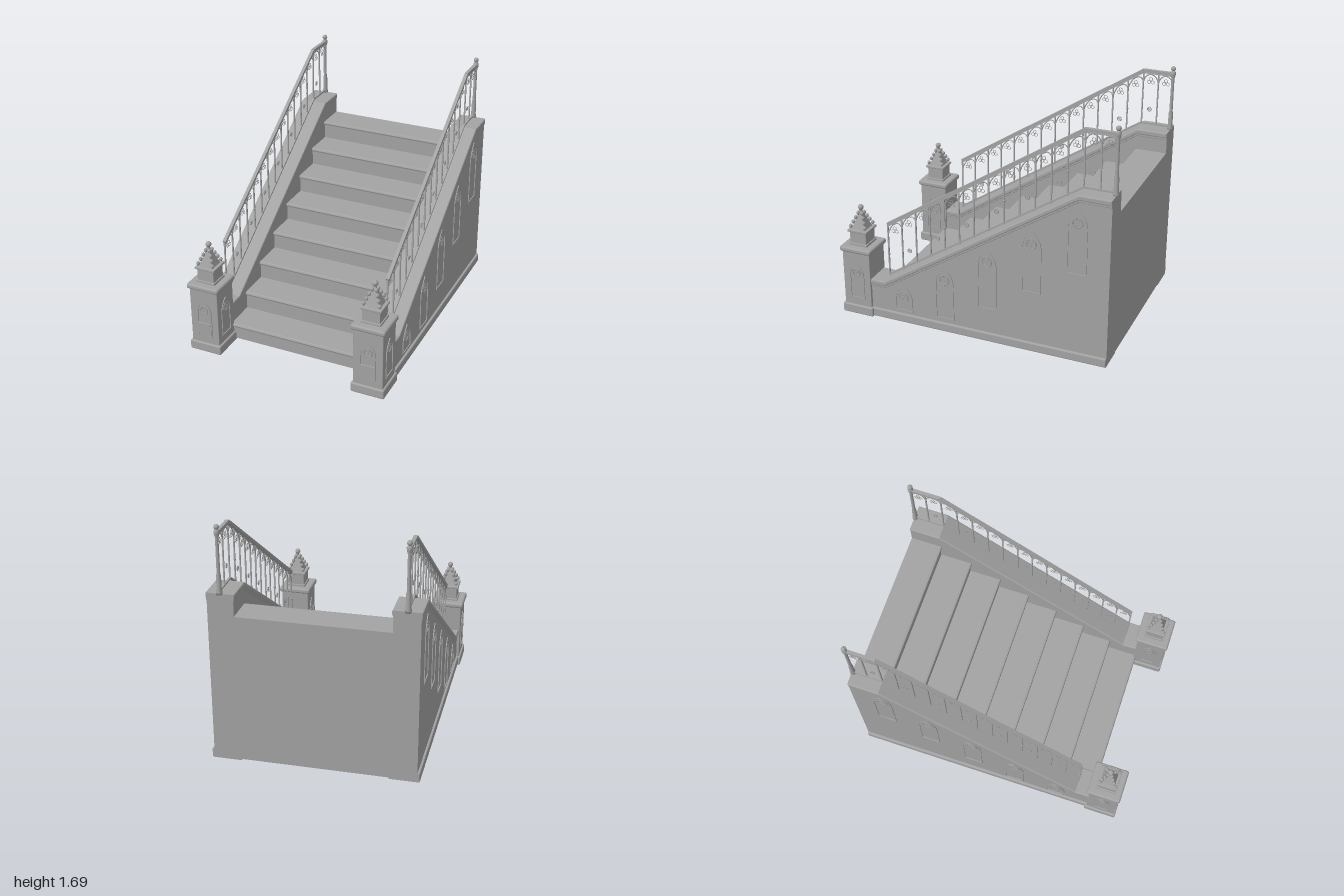
import * as THREE from 'three';
import { RoundedBoxGeometry } from 'three/addons/geometries/RoundedBoxGeometry.js';

const stone = new THREE.MeshStandardMaterial({ color: 0xa3a3a3 });
stone.name = 'grey stone';

const WALL_X = 0.607, RAIL_X = 0.61, SLOPE = 0.65, BEND_LOW = 0.67, BEND_HIGH = -0.76, BACK = -0.98;

function add(parent, name, geometry, x = 0, y = 0, z = 0) {
  const mesh = new THREE.Mesh(geometry, stone);
  mesh.name = name;
  mesh.position.set(x, y, z);
  parent.add(mesh);
  return mesh;
}

// Extrudes a (z, y) outline sideways, centred on x = 0
function sideways(points, width, bevel = 0) {
  const shape = new THREE.Shape(points.map(([z, y]) => new THREE.Vector2(z, y)));
  const depth = width - 2 * bevel;
  const geometry = new THREE.ExtrudeGeometry(shape, {
    depth, bevelEnabled: bevel > 0, bevelSize: bevel, bevelThickness: bevel, bevelOffset: -bevel, bevelSegments: 2,
  });
  geometry.translate(0, 0, -depth / 2);
  return geometry.rotateY(-Math.PI / 2);
}

// Height above the lower bend of the sloping line
const rise = (z) => SLOPE * (BEND_LOW - Math.min(BEND_LOW, Math.max(BEND_HIGH, z)));

// Band following the wall top, between two heights at the lower end
function band(low, high, width, bevel) {
  const zs = [0.78, BEND_LOW, BEND_HIGH, BACK];
  const lower = zs.map((z) => [z, low + rise(z)]);
  const upper = zs.map((z) => [z, high + rise(z)]).reverse();
  return sideways([...lower, ...upper], width, bevel);
}

// Straight square bar in the (z, y) plane
function bar(parent, name, z0, y0, z1, y1, height, width) {
  const length = Math.hypot(z1 - z0, y1 - y0);
  const mesh = add(parent, name, new THREE.BoxGeometry(width, height, length), 0, (y0 + y1) / 2, (z0 + z1) / 2);
  mesh.rotation.x = Math.atan2(y1 - y0, z0 - z1);
}

// Pointed arch outline standing on y = 0
function lancet(Type, w, h, inset = 0) {
  const a = w / 2 - inset, spring = h - w * 0.95, top = h - inset * 1.5;
  const s = new Type();
  s.moveTo(-a, inset);
  s.lineTo(a, inset);
  s.lineTo(a, spring);
  s.quadraticCurveTo(a, spring + (top - spring) * 0.6, 0, top);
  s.quadraticCurveTo(-a, spring + (top - spring) * 0.6, -a, spring);
  return s.closePath();
}

// Blind window: raised arch frame with a trefoil roundel
function blindWindow(w, h) {
  const group = new THREE.Group();
  group.name = 'blindWindow';
  const shape = lancet(THREE.Shape, w, h);
  shape.holes.push(lancet(THREE.Path, w, h, 0.009));
  add(group, 'windowFrame', new THREE.ExtrudeGeometry(shape, { depth: 0.006, bevelEnabled: false, curveSegments: 8 }));
  const y = h - w * 0.68, r = w * 0.25;
  add(group, 'roundel', new THREE.TorusGeometry(r, 0.004, 4, 20), 0, y, 0.001);
  trefoil(group, 0, y, 0.001, r * 0.45, r * 0.42);
  return group;
}

// Three small rings in the xy plane
function trefoil(parent, x, y, z, spread, radius) {
  for (let i = 0; i < 3; i++) {
    const a = Math.PI / 2 + (i * Math.PI * 2) / 3;
    add(parent, 'trefoilRing', new THREE.TorusGeometry(radius, 0.002, 4, 12), x + Math.cos(a) * spread, y + Math.sin(a) * spread, z);
  }
}

function staircase() {
  const group = new THREE.Group();
  group.name = 'staircase';
  // Solid flight with an overhanging rounded nosing on each tread
  const points = [[BACK, 0.015], [0.775, 0.015]];
  for (let i = 0; i < 8; i++) {
    const z = 0.79 - i * 0.22, y = 0.135 + i * 0.1335;
    points.push([z - 0.015, y - 0.026], [z - 0.004, y - 0.024], [z, y - 0.013], [z - 0.004, y - 0.003], [z - 0.015, y]);
    points.push(i < 7 ? [z - 0.235, y] : [BACK, y]);
  }
  add(group, 'steps', sideways(points, 1.05));
  return group;
}

function sideWall(s) {
  const group = new THREE.Group();
  group.name = 'sideWall';
  const x = s * WALL_X;
  add(group, 'wallBody', sideways([[BACK, 0.02], [0.78, 0.02], [0.78, 0.27], [BEND_LOW, 0.27], [BEND_HIGH, 0.27 + rise(-1)], [BACK, 0.27 + rise(-1)]], 0.178), x);
  add(group, 'plinth', sideways([[BACK, 0.005], [0.78, 0.005], [0.78, 0.07], [BACK, 0.07]], 0.212, 0.008), x);
  add(group, 'copingMoulding', band(0.24, 0.262, 0.186, 0.004), x);
  add(group, 'coping', band(0.255, 0.293, 0.196, 0.008), x);
  // Row of blind windows climbing the outer face
  [[0.52, 0.09, 0.3], [0.2, 0.1, 0.5], [-0.12, 0.25, 0.71], [-0.44, 0.45, 0.91], [-0.755, 0.65, 1.12]].forEach(([z, y0, y1]) => {
    const w = blindWindow(0.14, y1 - y0);
    w.position.set(x + s * 0.089, y0, z);
    w.rotation.y = (s * Math.PI) / 2;
    group.add(w);
  });
  return group;
}

function railing(s) {
  const group = new THREE.Group();
  group.name = 'railing';
  group.position.x = s * RAIL_X;
  const low = (z) => 0.312 + rise(z), high = (z) => 0.705 + rise(z);
  for (const [from, to] of [[BEND_LOW, BEND_HIGH], [BEND_HIGH, BACK]]) {
    bar(group, 'bottomRail', from, low(from), to, low(to), 0.012, 0.016);
    bar(group, 'topRail', from, high(from), to, high(to), 0.02, 0.024);
    bar(group, 'underRail', from, high(from) - 0.018, to, high(to) - 0.018, 0.006, 0.014);
  }
  const step = 0.11;
  for (let i = 0; i <= 15; i++) {
    const z = BEND_LOW - i * step;
    if (i < 15) bar(group, 'baluster', z, low(z) - 0.01, z, high(z), 0.009, 0.009);
    if (i % 4 === 0) add(group, 'balusterBead', new THREE.SphereGeometry(0.009, 10, 8), 0, low(z) + 0.16, z);
    if (i === 15) break;
    // Arch, sheared to follow the slope of the bay
    const mid = z - step / 2, points = [];
    for (let k = 0; k <= 10; k++) {
      const a = (k / 10) * Math.PI, zz = mid + (Math.cos(a) * step) / 2;
      points.push(new THREE.Vector3(0, high(zz) - 0.1 + 0.075 * Math.sin(a), zz));
    }
    add(group, 'bayArch', new THREE.TubeGeometry(new THREE.CatmullRomCurve3(points), 14, 0.004, 4));
    // Tracery in the bay
    const tracery = new THREE.Group();
    tracery.name = 'tracery';
    tracery.rotation.y = Math.PI / 2;
    tracery.position.z = mid;
    trefoil(tracery, 0, high(mid) - 0.075, 0, 0.015, 0.012);
    if (i % 2) {
      const y = low(mid) + 0.108;
      add(tracery, 'rosetteRing', new THREE.TorusGeometry(0.015, 0.003, 4, 14), 0, y, 0);
      for (const t of [1, -1]) {
        add(tracery, 'rosetteCross', new THREE.BoxGeometry(0.03, 0.004, 0.004), 0, y, 0).rotation.z = (t * Math.PI) / 4;
      }
    }
    group.add(tracery);
  }
  // Slender end post with a ball finial
  const profile = [[0, 1.215], [0.021, 1.215], [0.021, 1.235], [0.017, 1.25], [0.016, 1.34], [0.012, 1.36], [0.011, 1.6],
    [0.018, 1.625], [0.019, 1.645], [0.012, 1.655], [0.008, 1.662], [0, 1.662]];
  add(group, 'endPost', new THREE.LatheGeometry(profile.map(([r, y]) => new THREE.Vector2(r, y)), 14), 0, 0, -0.973);
  add(group, 'endPostBall', new THREE.SphereGeometry(0.018, 16, 12), 0, 1.673, -0.973);
  return group;
}

function pillar(s) {
  const group = new THREE.Group();
  group.name = 'pillar';
  group.position.set(s * RAIL_X, 0, 0.878);
  const block = (name, w, y0, y1, r) => add(group, name, new RoundedBoxGeometry(w, y1 - y0, w, 2, r), 0, (y0 + y1) / 2, 0);
  block('pillarBase', 0.24, 0, 0.07, 0.01);
  block('pillarShaft', 0.212, 0.06, 0.495, 0.004);
  block('pillarCap', 0.244, 0.485, 0.524, 0.014);
  block('pinnacleFoot', 0.142, 0.52, 0.54, 0.004);
  block('pinnacleBlock', 0.126, 0.53, 0.63, 0.003);
  block('pinnacleCornice', 0.15, 0.625, 0.642, 0.004);
  // Arched frames on the front and both sides
  for (const a of [0, Math.PI / 2, -Math.PI / 2]) {
    const w = blindWindow(0.115, 0.285);
    w.rotation.y = a;
    w.position.set(Math.sin(a) * 0.106, 0.125, Math.cos(a) * 0.106);
    group.add(w);
  }
  // Shield on the front
  const shield = new THREE.Shape();
  shield.moveTo(-0.05, 0.12);
  shield.lineTo(-0.05, 0.045);
  shield.quadraticCurveTo(-0.045, 0.015, 0, 0);
  shield.quadraticCurveTo(0.045, 0.015, 0.05, 0.045);
  shield.lineTo(0.05, 0.12);
  add(group, 'shield', new THREE.ExtrudeGeometry(shield, { depth: 0.009, bevelEnabled: false }), 0, 0.11, 0.106);
  // Four-sided spire with beads climbing its corners
  const spire = new THREE.ConeGeometry(0.075, 0.15, 4).rotateY(Math.PI / 4).toNonIndexed();
  spire.computeVertexNormals();
  add(group, 'spire', spire, 0, 0.715, 0);
  for (let k = 0; k < 4; k++) {
    const off = 0.056 - k * 0.0135, y = 0.665 + k * 0.03;
    for (const cx of [1, -1]) for (const cz of [1, -1]) {
      const bead = add(group, 'crocket', new THREE.SphereGeometry(0.0125, 10, 8), cx * off, y, cz * off);
      bead.scale.y = 1.25;
    }
  }
  add(group, 'finialCollar', new THREE.CylinderGeometry(0.012, 0.008, 0.02, 12), 0, 0.778, 0);
  add(group, 'finialBall', new THREE.SphereGeometry(0.02, 16, 12), 0, 0.797, 0);
  return group;
}

export function createModel() {
  const model = new THREE.Group();
  model.name = 'stairway';
  model.add(staircase());
  for (const s of [1, -1]) model.add(sideWall(s), railing(s), pillar(s));
  return model;
}
